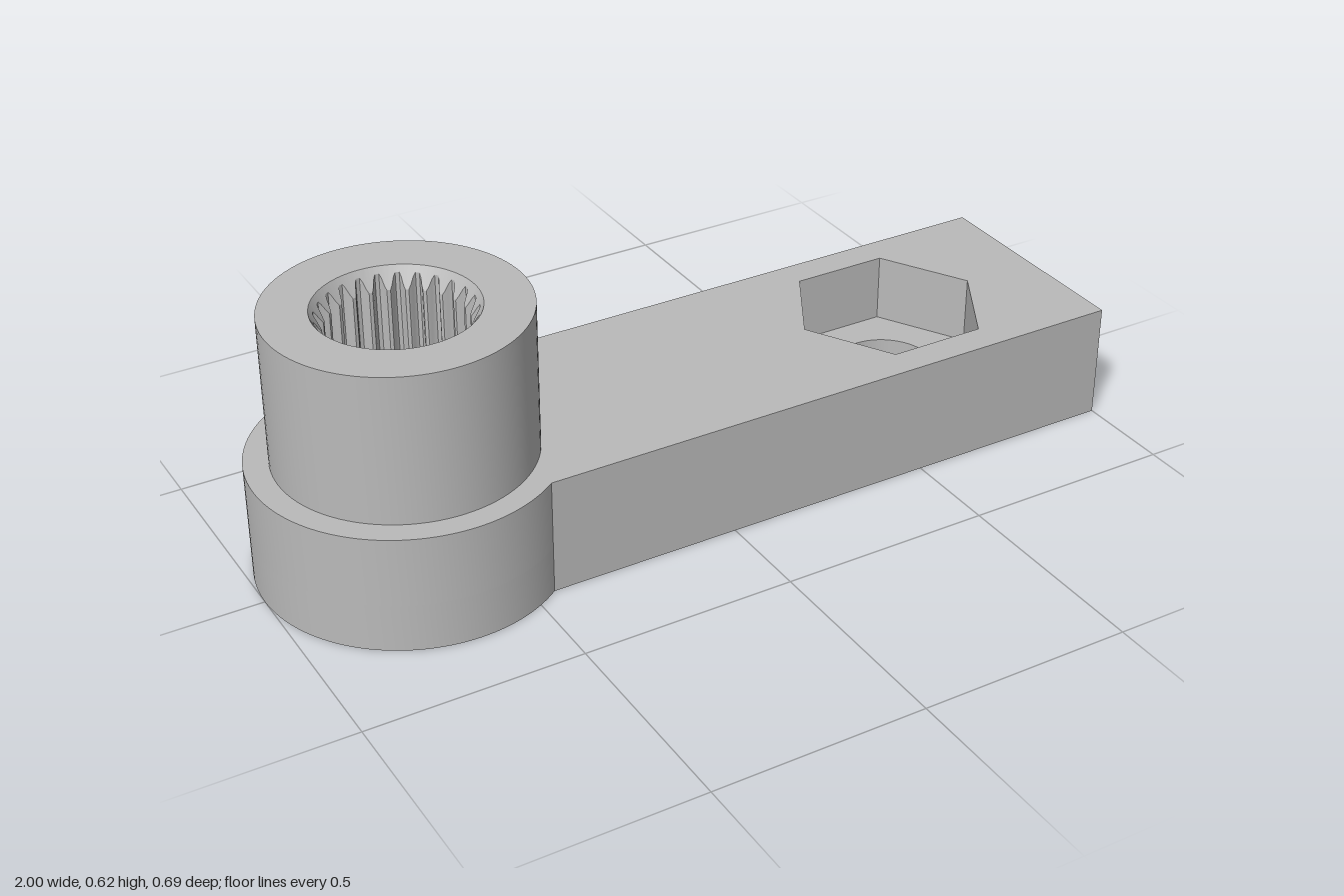
import * as THREE from 'three';
import { toCreasedNormals } from 'three/addons/utils/BufferGeometryUtils.js';

const HUB_X = -0.657, NUT_X = 0.583;
const BASE_TOP = 0.275, BOSS_TOP = 0.622;
const NUT_FLOOR = 0.112, SOCKET_FLOOR = 0.39, BORE_TOP = 0.3;
const BORE_R = 0.148, SCREW_R = 0.087, SOCKET_R = 0.18;

// Round hub outline running into a straight arm
function armShape(holes) {
  const r = 0.343, w = 0.275, a = Math.asin(w / r);
  const shape = new THREE.Shape();
  shape.moveTo(1, -w);
  shape.lineTo(1, w);
  shape.absarc(HUB_X, 0, r, a, 2 * Math.PI - a, false);
  shape.closePath();
  shape.holes.push(...holes);
  return shape;
}

function roundHole(x, r) {
  return new THREE.Path().absarc(x, 0, r, 0, 2 * Math.PI, true);
}

function hexHole(x, r) {
  const pts = [];
  for (let i = 0; i < 6; i++) {
    const a = -i * Math.PI / 3;
    pts.push(new THREE.Vector2(x + r * Math.cos(a), r * Math.sin(a)));
  }
  return new THREE.Path(pts);
}

// Horizontal slab between two heights
function slab(shape, y0, y1) {
  const g = new THREE.ExtrudeGeometry(shape, { depth: y1 - y0, bevelEnabled: false, curveSegments: 48 });
  g.rotateX(-Math.PI / 2).translate(0, y0, 0);
  return toCreasedNormals(g, 0.5);
}

function lathe(profile) {
  const g = new THREE.LatheGeometry(profile.map(p => new THREE.Vector2(...p)), 96);
  return toCreasedNormals(g, 0.5);
}

// Toothed socket wall: conical lead-in, then straight splines to the floor
function splineGeometry() {
  const teeth = 25, n = teeth * 10, pos = [], idx = [];
  for (let i = 0; i <= n; i++) {
    const a = i / n * 2 * Math.PI;
    const wave = Math.max(-1, Math.min(1, 1.5 * Math.cos(teeth * a)));
    const r = 0.163 - 0.009 * wave;
    const rimY = BOSS_TOP - (SOCKET_R - r) * 1.8;
    for (const [rad, y] of [[SOCKET_R, BOSS_TOP], [r, rimY], [r, SOCKET_FLOOR]]) {
      pos.push(rad * Math.cos(a), y, rad * Math.sin(a));
    }
  }
  for (let i = 0; i < n; i++) {
    for (let k = 0; k < 2; k++) {
      const p = i * 3 + k, q = p + 3;
      idx.push(p, q, p + 1, q, q + 1, p + 1);
    }
  }
  const g = new THREE.BufferGeometry();
  g.setAttribute('position', new THREE.Float32BufferAttribute(pos, 3));
  g.setIndex(idx);
  g.computeVertexNormals();
  return toCreasedNormals(g, 0.5);
}

export function createModel() {
  const group = new THREE.Group();
  const grey = new THREE.MeshStandardMaterial({ color: 0xbababa });
  grey.name = 'grey plastic';
  const inside = grey.clone();
  inside.side = THREE.DoubleSide;

  const add = (name, geometry, x = 0, material = grey) => {
    const mesh = new THREE.Mesh(geometry, material);
    mesh.name = name;
    mesh.position.x = x;
    group.add(mesh);
  };

  // Arm: bolt hole below, hexagonal nut pocket above
  add('armLower', slab(armShape([roundHole(HUB_X, BORE_R), roundHole(NUT_X, 0.118)]), 0, NUT_FLOOR));
  add('armUpper', slab(armShape([roundHole(HUB_X, BORE_R), hexHole(NUT_X, 0.231)]), NUT_FLOOR, BASE_TOP));

  // Raised boss: outer wall and rim
  add('boss', lathe([[0.288, BASE_TOP], [0.288, BOSS_TOP], [SOCKET_R, BOSS_TOP]]), HUB_X);

  // Socket floor, screw hole and the roof of the bore beneath
  add('screwSeat', lathe([
    [SOCKET_R, SOCKET_FLOOR], [SCREW_R, SOCKET_FLOOR],
    [SCREW_R, BORE_TOP], [BORE_R, BORE_TOP], [BORE_R, BASE_TOP],
  ]), HUB_X);
  add('splineSocket', splineGeometry(), HUB_X, inside);

  return group;
}
